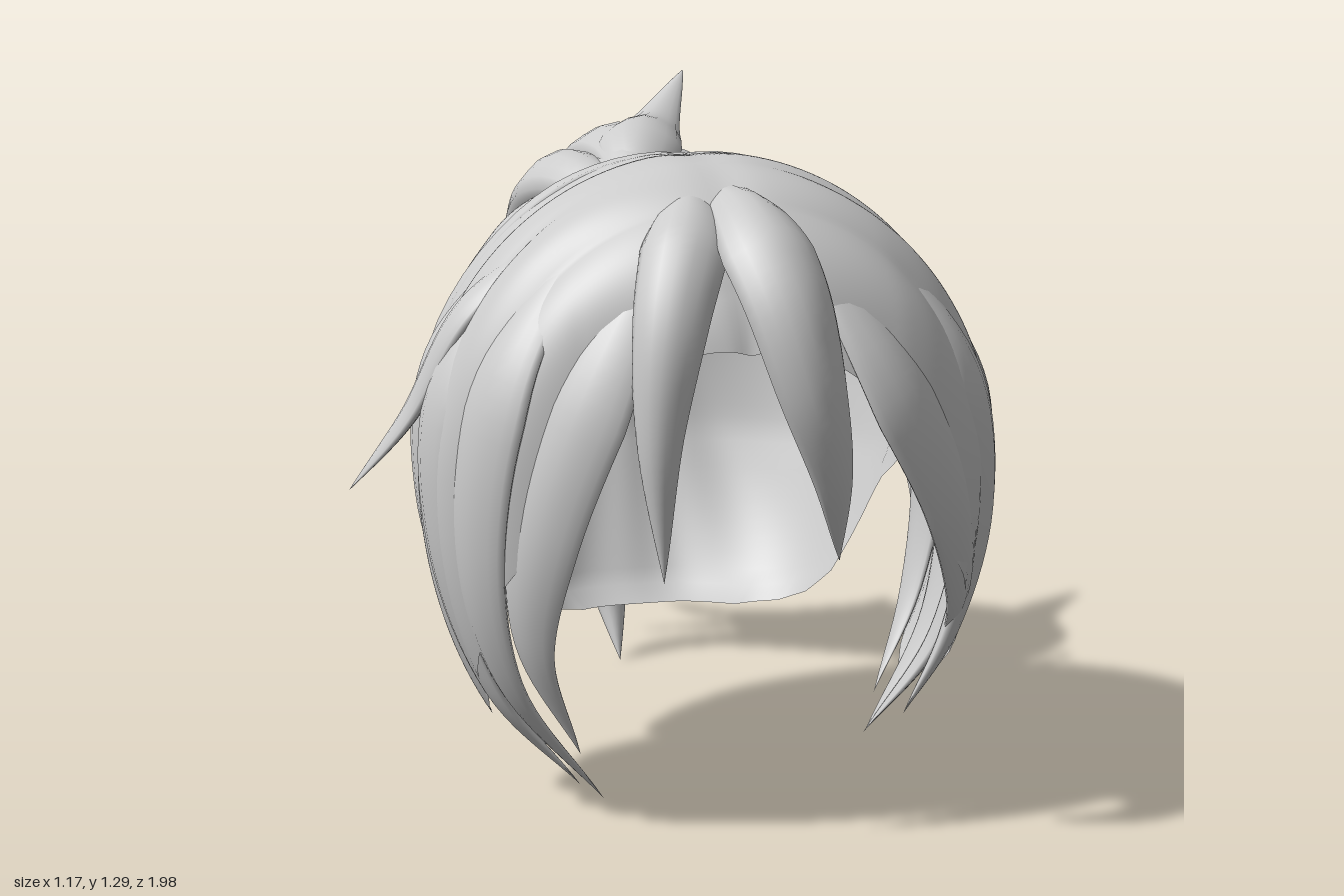
import * as THREE from 'three';

const material = new THREE.MeshStandardMaterial({ color: 0xcccccc, side: THREE.DoubleSide });
const { lerp, degToRad, clamp } = THREE.MathUtils;

// Piecewise-linear lookup in a [key, value] table
function lookup(table, key) {
  for (let i = 1; i < table.length; i++) {
    const [k0, v0] = table[i - 1], [k1, v1] = table[i];
    if (key <= k1) return lerp(v0, v1, clamp((key - k0) / (k1 - k0), 0, 1));
  }
  return table[table.length - 1][1];
}

// The same table, smoothed
const smooth = table => new THREE.SplineCurve(table.map(p => new THREE.Vector2(...p)))
  .getPoints(120).map(p => [p.x, p.y]);

// Grid surface; point(u, v) returns a Vector3
function surface(name, nu, nv, point, wrap = false) {
  const pos = [], index = [], row = wrap ? nv : nv + 1;
  for (let i = 0; i <= nu; i++)
    for (let j = 0; j < row; j++) pos.push(...point(i / nu, j / nv).toArray());
  for (let i = 0; i < nu; i++)
    for (let j = 0; j < nv; j++) {
      const a = i * row + j, b = i * row + (j + 1) % row;
      index.push(a, a + row, b, b, a + row, b + row);
    }
  const g = new THREE.BufferGeometry();
  g.setAttribute('position', new THREE.Float32BufferAttribute(pos, 3));
  g.setIndex(index);
  g.computeVertexNormals();
  const mesh = new THREE.Mesh(g, material);
  mesh.name = name;
  return mesh;
}

// Tapered lock of hair, lens-shaped across, lying flat around a centre point
function lock(name, points, width, thick, centre) {
  const curve = new THREE.CatmullRomCurve3(points.map(p => new THREE.Vector3(...p)));
  return surface(name, 36, 16, (u, v) => {
    const p = curve.getPoint(u), t = curve.getTangent(u);
    const side = t.clone().cross(p.clone().sub(centre)).normalize();
    const out = side.clone().cross(t).normalize();
    const f = Math.sqrt(Math.min(1, u / 0.3)) * (1 - u ** 2.5);
    const a = v * Math.PI * 2;
    const furrow = 1 + 0.06 * Math.cos(4 * a);
    return p.addScaledVector(side, width * f * furrow * Math.cos(a))
      .addScaledVector(out, thick * f * furrow * Math.sin(a));
  }, true);
}

// Rounded form of the front hair: deeper below the middle, fuller at the front on the model's left
const C = new THREE.Vector3(0.06, 0.62, 0.47);
const radii = d => new THREE.Vector3(0.515, d.y > 0 ? 0.55 : 0.7, d.z > 0 ? 0.43 + 0.07 * clamp(d.x, -0.5, 0.5) : 0.455);
function headPoint(d, k) {
  const bulge = ((1 - d.z * d.z) ** 1.25 + Math.abs(d.z) ** 2.5) ** (-1 / 2.5);
  return d.clone().multiply(radii(d)).multiplyScalar(k * bulge).add(C);
}
function onHead(p, k) {
  const d = new THREE.Vector3(...p).sub(C);
  return headPoint(d.divide(radii(d)).normalize(), k).toArray();
}

// Back of the hair, combed up to the tie, open below and in front
function backCap() {
  const profile = smooth([[0.24, 0.52], [0.26, 0.61], [0.33, 0.71], [0.42, 0.81], [0.52, 0.9], [0.6, 0.955],
    [0.75, 0.99], [0.84, 0.965], [0.92, 0.91], [0.99, 0.82], [1.06, 0.66], [1.1, 0.47], [1.12, 0.31], [1.13, 0]]);
  const rim = [[0, 0.24], [40, 0.242], [58, 0.255], [70, 0.28], [80, 0.33], [85, 0.42], [89, 0.52], [110, 0.62], [130, 1.0], [180, 1.08]];
  return surface('backHair', 50, 180, (u, v) => {
    const b = lerp(-180, 180, v), a = degToRad(b);
    const y = lerp(1.13, lookup(rim, Math.abs(b)), u * (0.3 + 0.7 * u));
    const r = lookup(profile, y);
    const x = 0.45 * r * Math.sin(a), z = -0.44 * r * Math.cos(a);
    // furrows fan out from the tie
    const fan = Math.atan2(x, 1.02 - y), fade = clamp(Math.hypot(x, 1.02 - y) * 1.5 - 0.15, 0, 1);
    const k = 1 + 0.016 * fade * Math.sin(fan * 17 + 2 * Math.sin(fan * 5));
    return new THREE.Vector3(0.07 + x * k, y, 0.25 + z * k);
  });
}

// Front hair shell around the face opening, furrowed from the parting downward
function frontShell() {
  const faceEdge = [[-42, 90], [-33, 73], [-22, 56], [-10, 37], [0, 33], [40, 28], [90, 24]];
  const backEdge = [[-42, 93], [-37, 98], [-20, 112], [-7, 119], [90, 119]];
  return surface('frontHair', 120, 72, (u, v) => {
    const tau = lerp(-42, 222, u), t = Math.min(tau, 180 - tau);
    const psi = lerp(lookup(faceEdge, t), lookup(backEdge, t), v);
    const a = degToRad(tau), s = degToRad(psi);
    const fade = clamp((90 - t) / 45, 0, 1);
    const parting = -0.012 * Math.exp(-(((tau - 91) / 5) ** 2));
    const k = 1 + parting + fade * (0.03 * Math.abs(Math.sin(psi * 0.16 + t * 0.008)) - 0.025);
    return headPoint(new THREE.Vector3(Math.sin(s) * Math.cos(a), Math.sin(s) * Math.sin(a), Math.cos(s)), k);
  });
}

export function createModel() {
  const model = new THREE.Group();
  model.name = 'hair';
  model.add(backCap(), frontShell());

  // Locks over the forehead
  const fringe = new THREE.Group();
  fringe.name = 'fringe';
  fringe.add(
    lock('fringeRight', [[0.01, 1.1, 0.62], [-0.03, 1.04, 0.77], [-0.075, 0.91, 0.86], [-0.1, 0.72, 0.89], [-0.09, 0.47, 0.88]], 0.075, 0.05, C),
    lock('fringeMiddle', [[0.06, 1.11, 0.6], [0.08, 1.06, 0.78], [0.11, 0.95, 0.9], [0.145, 0.8, 0.945], [0.185, 0.65, 0.935], [0.21, 0.5, 0.89]], 0.085, 0.055, C),
    lock('strayLock', [[-0.2, 1.05, 0.55], [-0.38, 0.89, 0.54], [-0.475, 0.71, 0.5], [-0.58, 0.57, 0.46]], 0.05, 0.022, C));
  model.add(fringe);

  // Locks down the sides, laid on the rounded form
  const sides = new THREE.Group();
  sides.name = 'sideLocks';
  const sideLocks = [
    // model's left
    [0.085, [0.18, 1.04, 0.75], [0.3, 0.8, 0.84], [0.39, 0.6, 0.8], [0.45, 0.42, 0.72], [0.46, 0.28, 0.64]],
    [0.08, [0.3, 1.03, 0.66], [0.46, 0.8, 0.72], [0.52, 0.55, 0.7], [0.48, 0.32, 0.68], [0.43, 0.12, 0.66]],
    [0.09, [0.3, 1.08, 0.52], [0.55, 0.8, 0.57], [0.58, 0.55, 0.58], [0.5, 0.28, 0.56], [0.39, 0.05, 0.5]],
    [0.085, [0.25, 1.1, 0.4], [0.52, 0.8, 0.43], [0.57, 0.55, 0.44], [0.52, 0.3, 0.48], [0.39, 0.06, 0.5]],
    // model's right
    [0.085, [-0.06, 1.04, 0.75], [-0.19, 0.8, 0.82], [-0.26, 0.55, 0.78], [-0.27, 0.35, 0.73], [-0.2, 0.13, 0.7]],
    [0.085, [-0.18, 1.03, 0.66], [-0.34, 0.8, 0.72], [-0.39, 0.5, 0.7], [-0.33, 0.25, 0.66], [-0.17, -0.07, 0.62]],
    [0.08, [-0.18, 1.08, 0.5], [-0.43, 0.8, 0.56], [-0.46, 0.5, 0.57], [-0.36, 0.2, 0.58], [-0.2, 0, 0.6]],
    [0.085, [-0.14, 1.1, 0.4], [-0.4, 0.8, 0.42], [-0.45, 0.55, 0.43], [-0.42, 0.25, 0.45]],
  ];
  for (const [w, ...pts] of sideLocks)
    sides.add(lock('sideLock', pts.map(p => onHead(p, 0.97)), w, 0.03, C));
  // Raised band along the rear edge, mirrored about the parting
  for (const s of [-1, 1])
    sides.add(lock('rearBand', [[-0.2, 1.1, 0.34], [0.05, 1.12, 0.33], [0.25, 1.04, 0.32], [0.43, 0.84, 0.31], [0.47, 0.58, 0.32], [0.41, 0.35, 0.36], [0.33, 0.17, 0.42]]
      .map(([x, y, z]) => onHead([0.06 + s * x, y, z], 0.97)), 0.085, 0.03, C));
  model.add(sides);

  // Ponytail
  const tail = new THREE.Group();
  tail.name = 'ponytail';
  const T = new THREE.Vector3(0.08, 0.1, -0.3);
  const tailLocks = [
    [0.18, 0.15, [0.06, 1.01, -0.08], [0.07, 1.01, -0.3], [0.08, 0.91, -0.5], [0.08, 0.68, -0.59], [0.09, 0.35, -0.68]],
    [0.11, 0.07, [0.06, 1.03, -0.08], [0.08, 1.12, -0.3], [0.08, 1.08, -0.57], [0.08, 0.86, -0.69], [0.09, 0.58, -0.73], [0.1, 0.36, -0.83], [0.11, 0.24, -0.99]],
    [0.1, 0.08, [0.07, 1.02, -0.08], [0.18, 1.07, -0.35], [0.23, 0.93, -0.61], [0.26, 0.7, -0.68], [0.34, 0.53, -0.76], [0.46, 0.48, -0.88]],
    [0.1, 0.08, [0.05, 1.02, -0.08], [-0.04, 1.06, -0.35], [-0.06, 0.92, -0.61], [-0.04, 0.58, -0.67], [0, 0.23, -0.7]],
    [0.1, 0.07, [0.05, 1.0, -0.1], [0, 0.92, -0.27], [0, 0.65, -0.45], [0.05, 0.35, -0.56], [0.075, 0.17, -0.55], [0.09, 0, -0.47]],
    [0.1, 0.07, [0.07, 1.0, -0.1], [0.18, 0.92, -0.28], [0.21, 0.65, -0.48], [0.24, 0.36, -0.6], [0.28, 0.2, -0.68], [0.33, 0.14, -0.78]],
    [0.09, 0.055, [0.06, 1.05, -0.13], [0.1, 1.14, -0.31], [0.17, 1.17, -0.52], [0.28, 1.29, -0.72]],
  ];
  for (const [w, t, ...pts] of tailLocks) tail.add(lock('tailLock', pts, w, t, T));
  model.add(tail);

  // Hair tie: a ring and two thin cord loops
  const tie = new THREE.Group();
  tie.name = 'hairTie';
  const ring = new THREE.Mesh(new THREE.TorusGeometry(0.08, 0.014, 10, 32), material);
  ring.name = 'tieRing';
  ring.position.set(0.06, 0.99, -0.13);
  ring.rotation.x = -0.35;
  tie.add(ring);
  for (const s of [-1, 1]) {
    const path = [[0, 1.06, -0.08], [0.09, 1.06, -0.1], [0.18, 1.03, -0.15], [0.18, 1.0, -0.18], [0.09, 1.03, -0.14]]
      .map(([x, y, z]) => new THREE.Vector3(0.05 + s * x, y, z));
    const loop = new THREE.Mesh(new THREE.TubeGeometry(new THREE.CatmullRomCurve3(path, true), 48, 0.009, 8, true), material);
    loop.name = 'tieLoop';
    tie.add(loop);
  }
  model.add(tie);
  return model;
}
